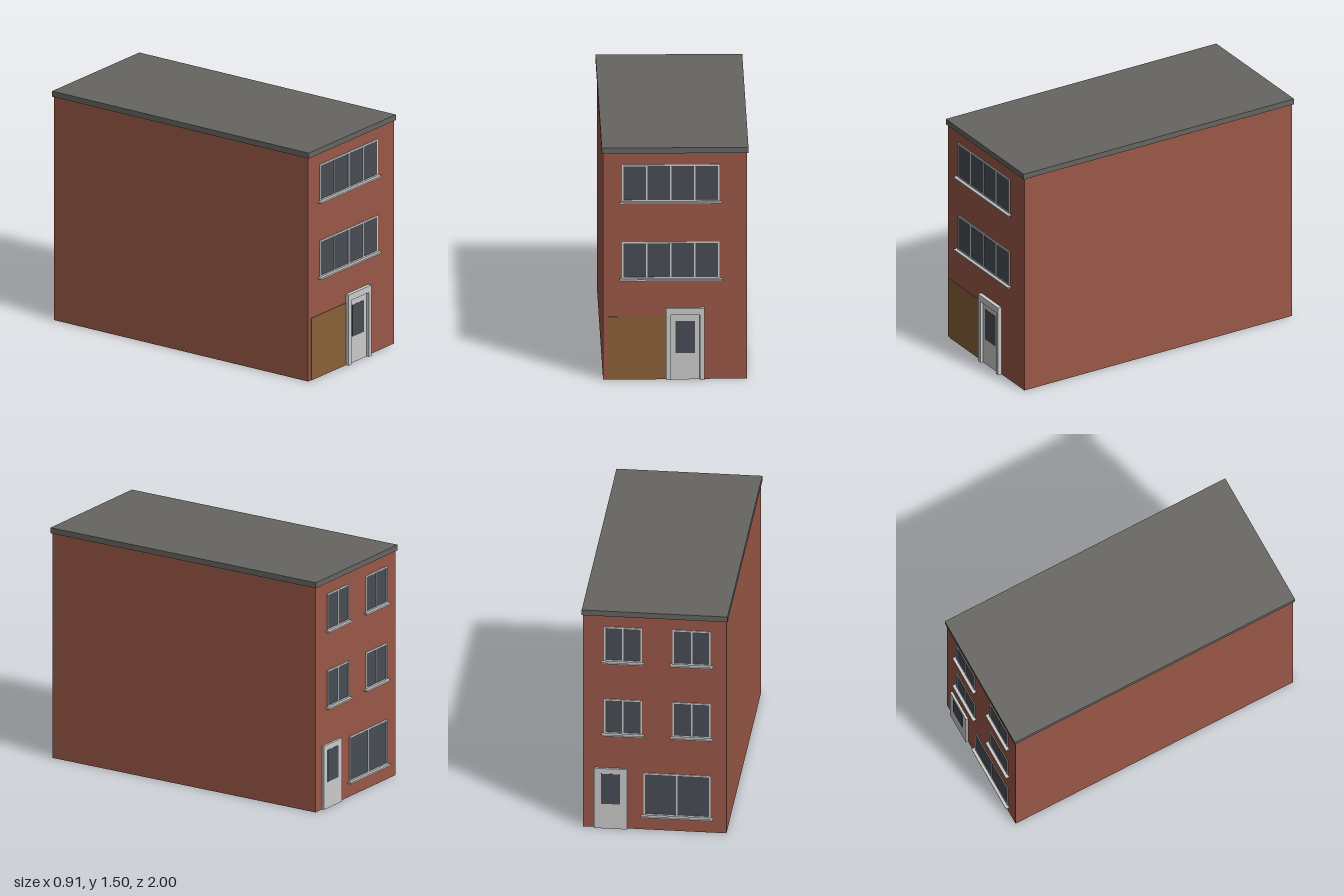
import * as THREE from 'three';

const mat = (color, side = THREE.FrontSide) => new THREE.MeshStandardMaterial({ color, side });

export function createModel() {
  const model = new THREE.Group();
  const brick = mat(0x9a5847, THREE.DoubleSide);
  const roofGrey = mat(0x666560);
  const trim = mat(0xcccccc);
  const glass = mat(0x484d55);
  const brown = mat(0x8a6038);
  const W = 0.89, D = 1.95, H = 1.46;

  // Box given by its limits on each axis
  function block(parent, name, material, x0, x1, y0, y1, z0, z1) {
    const mesh = new THREE.Mesh(new THREE.BoxGeometry(x1 - x0, y1 - y0, z1 - z0), material);
    mesh.position.set((x0 + x1) / 2, (y0 + y1) / 2, (z0 + z1) / 2);
    mesh.name = name;
    parent.add(mesh);
    return mesh;
  }

  // Brick shell: four walls, open at the bottom and closed above by the roof slab
  const walls = block(model, 'brickWalls', brick, -W / 2, W / 2, 0, H, -D / 2, D / 2);
  const index = Array.from(walls.geometry.index.array);
  walls.geometry.setIndex([...index.slice(0, 12), ...index.slice(24)]);
  walls.geometry.clearGroups();

  block(model, 'roofSlab', roofGrey, -0.453, 0.453, H, 1.496, -0.985, 0.985);

  // A facade has its wall face at local z = 0 and looks towards local +z
  function facade(name, turn) {
    const group = new THREE.Group();
    group.name = name;
    group.rotation.y = turn;
    group.position.z = Math.cos(turn) * D / 2;
    model.add(group);
    return group;
  }

  // Rectangular outline with a rectangular hole, as a thin extruded frame
  function frame(parent, name, x0, x1, y0, y1, bars, t, depth) {
    const shape = new THREE.Shape([[x0, y0], [x1, y0], [x1, y1], [x0, y1]].map(p => new THREE.Vector2(...p)));
    const step = (x1 - x0 - t) / bars;
    for (let i = 0; i < bars; i++) {
      const a = x0 + t + i * step, b = a + step - t;
      shape.holes.push(new THREE.Path([[a, y0 + t], [a, y1 - t], [b, y1 - t], [b, y0 + t]].map(p => new THREE.Vector2(...p))));
    }
    const mesh = new THREE.Mesh(new THREE.ExtrudeGeometry(shape, { depth, bevelEnabled: false }), trim);
    mesh.name = name;
    parent.add(mesh);
  }

  // Window with equal panes, mullions and a projecting sill
  function addWindow(parent, x0, x1, y0, y1, panes) {
    const group = new THREE.Group();
    group.name = 'window';
    parent.add(group);
    block(group, 'windowGlass', glass, x0 + 0.004, x1 - 0.004, y0 + 0.004, y1 - 0.004, -0.004, 0.002);
    frame(group, 'windowFrame', x0, x1, y0, y1, panes, 0.009, 0.005);
    block(group, 'windowSill', trim, x0 - 0.016, x1 + 0.016, y0 - 0.011, y0 - 0.001, 0, 0.023);
  }

  // Door leaf with a single glazed panel
  function addDoor(parent, x0, x1, height, front, gx0, gx1) {
    block(parent, 'doorLeaf', trim, x0, x1, 0, height, 0, front);
    block(parent, 'doorGlass', glass, gx0, gx1, 0.17, 0.376, 0, front + 0.002);
  }

  // Front: two window bands, framed door and garage panel
  const front = facade('frontFacade', 0);
  for (const y of [0.65, 1.148]) addWindow(front, -0.328, 0.275, y, y + 0.237, 4);
  addDoor(front, -0.026, 0.152, 0.42, 0.008, 0.002, 0.122);
  for (const [x0, x1] of [[-0.057, -0.026], [0.152, 0.18]])
    block(front, 'doorJamb', trim, x0, x1, 0, 0.42, 0, 0.025);
  block(front, 'doorLintel', trim, -0.057, 0.18, 0.42, 0.462, 0, 0.025);
  block(front, 'garagePanel', brown, -0.415, -0.057, 0, 0.405, 0, 0.004);

  // Back: paired windows above, plain door and wide window below
  const back = facade('backFacade', Math.PI);
  for (const y of [0.65, 1.148]) {
    addWindow(back, -0.315, -0.08, y, y + 0.237, 2);
    addWindow(back, 0.112, 0.347, y, y + 0.237, 2);
  }
  addWindow(back, -0.07, 0.347, 0.1, 0.39, 2);
  addDoor(back, -0.375, -0.17, 0.412, 0.015, -0.332, -0.215);

  return model;
}
